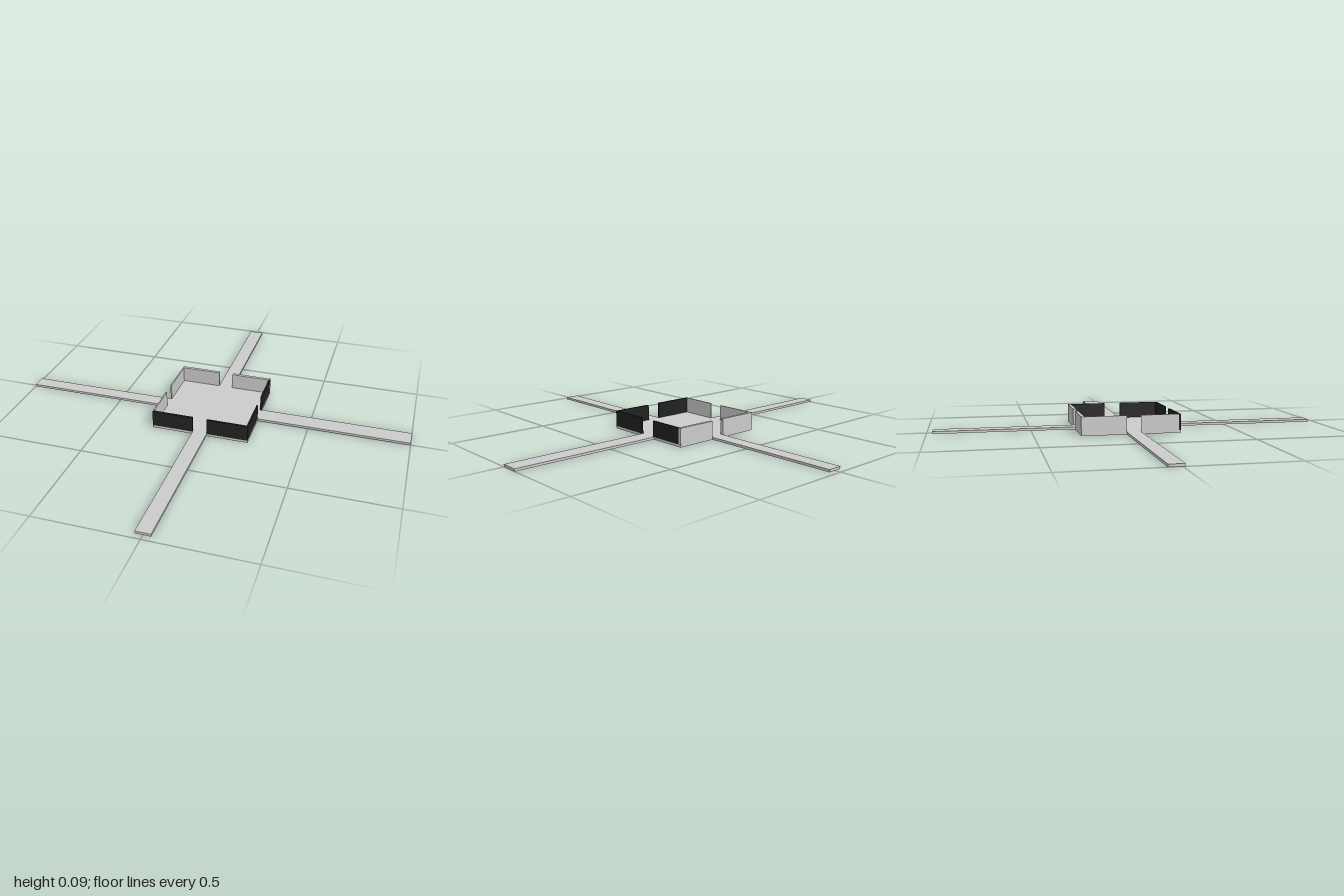
import * as THREE from 'three';

export function createModel() {
  const model = new THREE.Group();
  const grey = new THREE.MeshStandardMaterial({ color: 0xcccccc });
  const dark = new THREE.MeshStandardMaterial({ color: 0x222222 });

  // Box given by its min and max on each axis
  function block(name, [x0, x1], [y0, y1], [z0, z1], material = grey) {
    const mesh = new THREE.Mesh(new THREE.BoxGeometry(x1 - x0, y1 - y0, z1 - z0), material);
    mesh.position.set((x0 + x1) / 2, (y0 + y1) / 2, (z0 + z1) / 2);
    mesh.name = name;
    model.add(mesh);
  }

  const L = -0.243, R = 0.243, B = -0.28, F = 0.208; // plate edges
  const floor = [0, 0.012], wall = [0.012, 0.092];

  // Floor plate and the four straps reaching out from it
  block('floorPlate', [L, R], floor, [B, F]);
  block('frontStrap', [-0.036, 0.036], floor, [F, 0.972]);
  block('backStrap', [-0.036, 0.036], floor, [-0.972, B]);
  block('leftStrap', [R, 1], floor, [-0.088, 0.002]);
  block('rightStrap', [-1, L], floor, [-0.06, 0.01]);

  // Front and back walls, split by the strap gap
  for (const [side, span] of [['Right', [L, -0.036]], ['Left', [0.036, R]]]) {
    block('frontWall' + side, span, wall, [F - 0.01, F], dark);
    block('backWall' + side, span, wall, [B, B + 0.016]);
  }

  // Side walls, fitted between the front and back walls
  const z0 = B + 0.016, z1 = F - 0.01;
  block('leftWallFront', [R - 0.008, R], wall, [0.002, z1], dark);
  block('leftWallBack', [R - 0.008, R], wall, [B, -0.083], dark);
  block('rightWallFront', [L, L + 0.006], wall, [0.01, z1]);
  block('rightWallBack', [L, L + 0.006], wall, [z0, -0.06]);

  return model;
}
